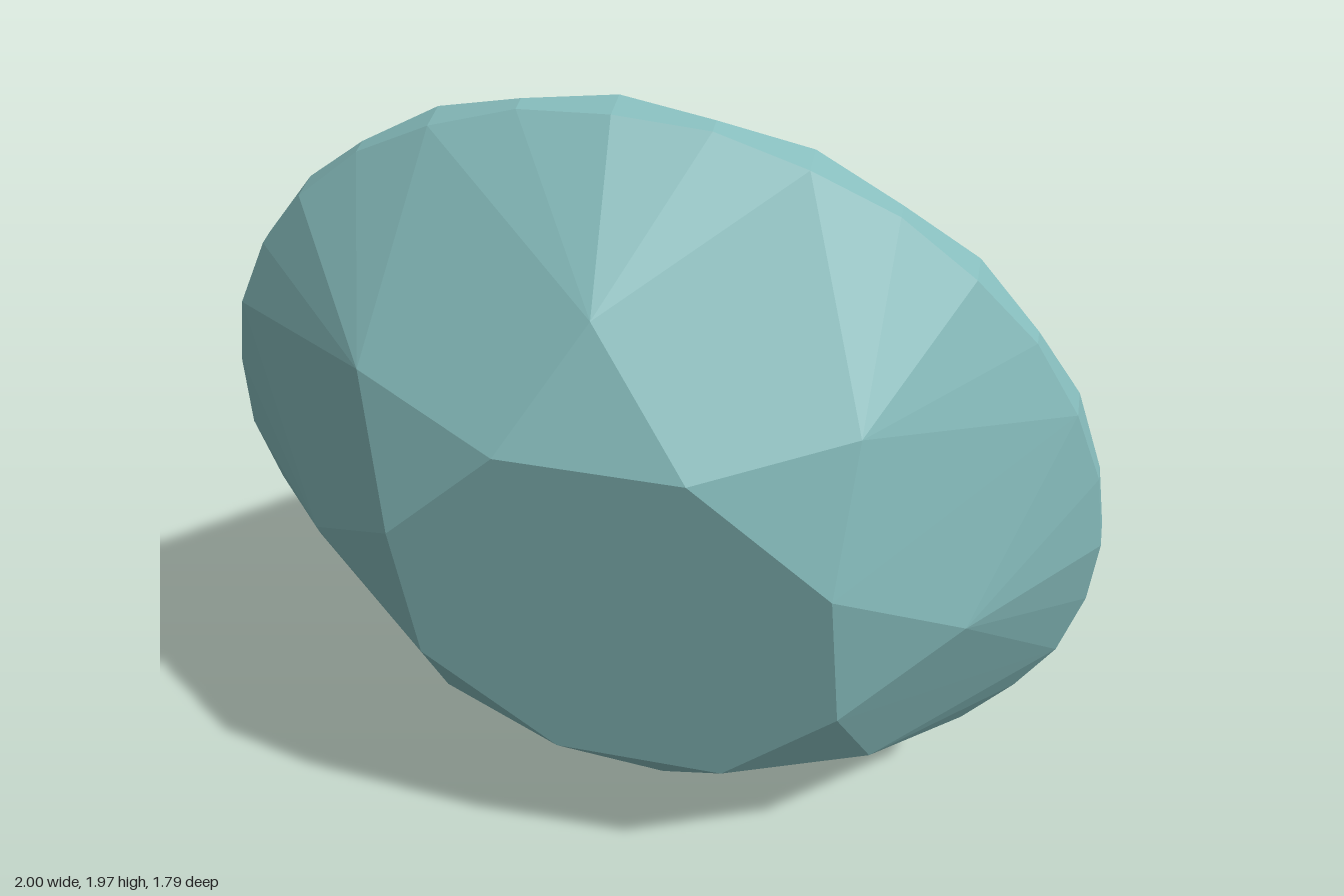
import * as THREE from 'three';

// Tilted frame of the cut stone: centre, two girdle axes and the axis through the table
const O = new THREE.Vector3(0, 0.993, 0.26);
const U = new THREE.Vector3(0.995, -0.04, -0.133);
const V = new THREE.Vector3(0, 0.977, 0.235);
const N = new THREE.Vector3(0.1254, -0.2315, 0.9646);
const SIDES = 32;

// Point at radius r, girdle step i and height h along the stone's axis
function point(r, i, h) {
  const a = (i / SIDES) * Math.PI * 2;
  return O.clone()
    .addScaledVector(U, r * Math.sin(a))
    .addScaledVector(V, r * Math.cos(a))
    .addScaledVector(N, h);
}

const table = (i) => point(0.51, i, 0.515);
const crownMid = (i) => point(0.73, i, 0.365);
// Flat facets scallop the girdle edges at every odd step
const girdleTop = (i) => point(1, i, i % 2 ? 0.06 : 0.07);
const girdleBase = (i) => point(1, i, i % 2 ? 0.022 : 0);
const pavilionMid = (i) => point(0.2, i, -0.98);
const culet = point(0, 0, -1.203);

export function createModel() {
  const group = new THREE.Group();
  group.name = 'cutGem';
  const material = new THREE.MeshStandardMaterial({ color: 0x86bcbc, flatShading: true });

  // Turns a list of convex facets into one flat shaded mesh
  function addFacets(name, facets) {
    const pts = [];
    for (const f of facets)
      for (let j = 1; j < f.length - 1; j++) pts.push(f[0], f[j], f[j + 1]);
    const geometry = new THREE.BufferGeometry().setFromPoints(pts);
    geometry.computeVertexNormals();
    const mesh = new THREE.Mesh(geometry, material);
    mesh.name = name;
    group.add(mesh);
  }

  const tableFacet = [], stars = [], kites = [], upperHalves = [];
  const girdle = [], mains = [], lowerHalves = [];

  for (let k = 0; k < 8; k++) {
    const c = 4 * k;
    tableFacet.push(table(2 - c));
    stars.push([table(c - 2), table(c + 2), crownMid(c)]);
    kites.push([table(c + 2), crownMid(c + 4), girdleTop(c + 2), crownMid(c)]);
    mains.push([culet, pavilionMid(c), girdleBase(c + 2), pavilionMid(c + 4)]);
    for (let i = c - 2; i < c + 2; i++) {
      upperHalves.push([crownMid(c), girdleTop(i + 1), girdleTop(i)]);
      lowerHalves.push([pavilionMid(c), girdleBase(i), girdleBase(i + 1)]);
      girdle.push([girdleTop(i), girdleTop(i + 1), girdleBase(i + 1), girdleBase(i)]);
    }
  }

  addFacets('table', [tableFacet]);
  addFacets('crownStars', stars);
  addFacets('crownKites', kites);
  addFacets('crownUpperHalves', upperHalves);
  addFacets('girdle', girdle);
  addFacets('pavilionMains', mains);
  addFacets('pavilionLowerHalves', lowerHalves);
  return group;
}
